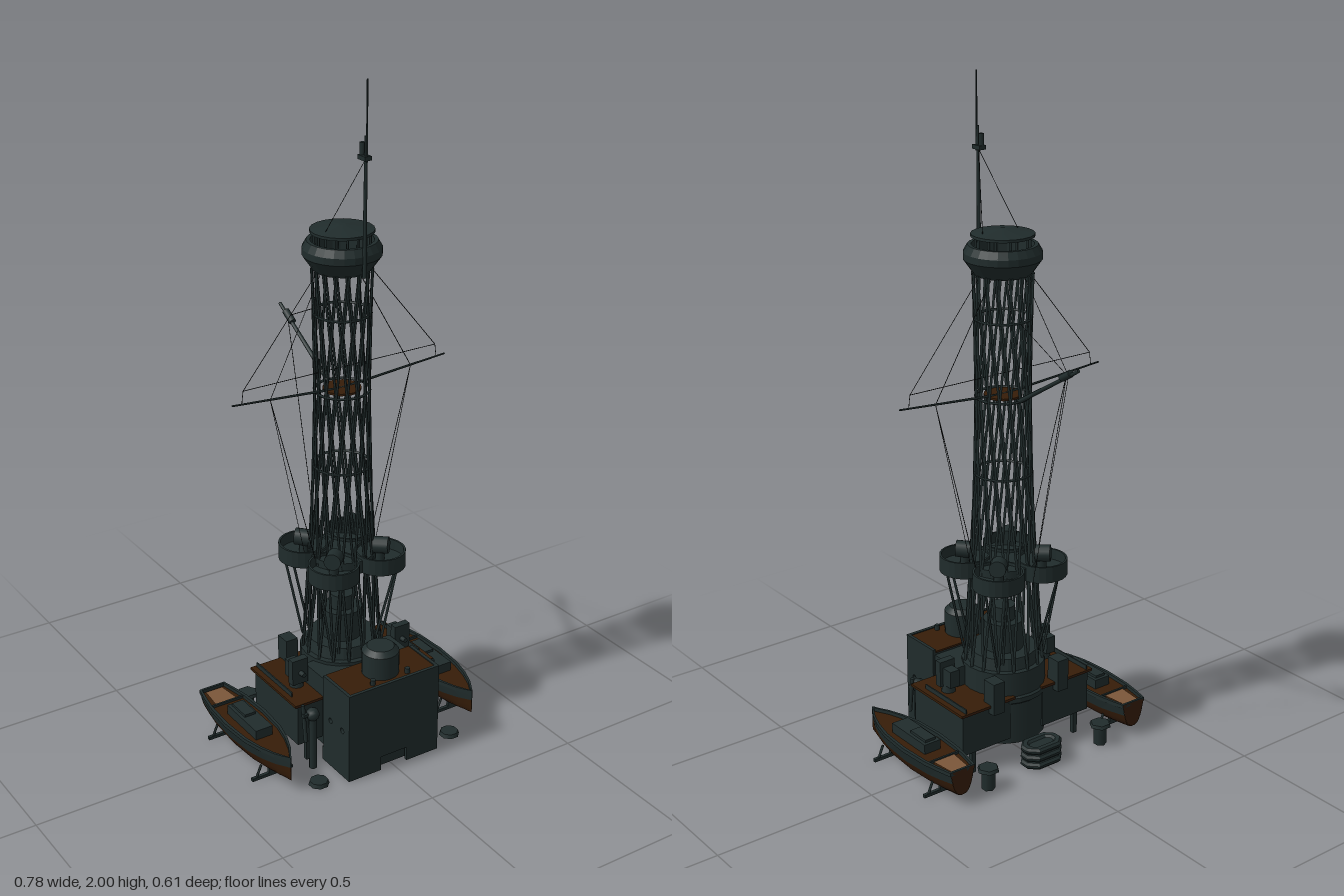
import * as THREE from 'three';

const paint = (name, color, extra = {}) => Object.assign(new THREE.MeshStandardMaterial({ color, ...extra }), { name });
const D = { side: THREE.DoubleSide };

export function createModel() {
  const root = new THREE.Group();
  root.name = 'latticeMastTower';
  const grey = paint('hull grey', 0x202c2c, D);
  const brown = paint('deck brown', 0x361d08, D);
  const tan = paint('cockpit tan', 0x7b573a, D);
  const wire = paint('rigging black', 0x15191a);
  const MZ = 0.028; // mast axis

  const add = (name, geo, mat, x = 0, y = 0, z = 0, parent = root) => {
    const m = new THREE.Mesh(geo, mat);
    m.name = name;
    m.position.set(x, y, z);
    parent.add(m);
    return m;
  };
  const poly = pts => new THREE.Shape(pts.map(p => new THREE.Vector2(...p)));
  // box given by its limits
  const box = (name, mat, x0, x1, y0, y1, z0, z1, parent) =>
    add(name, new THREE.BoxGeometry(x1 - x0, y1 - y0, z1 - z0), mat, (x0 + x1) / 2, (y0 + y1) / 2, (z0 + z1) / 2, parent);
  // upright cylinder from y0 to y1
  const cyl = (name, mat, x, z, y0, y1, r0, r1 = r0, n = 20, parent = root) =>
    add(name, new THREE.CylinderGeometry(r1, r0, y1 - y0, n), mat, x, (y0 + y1) / 2, z, parent);
  // rod between two points
  const rod = (name, mat, a, b, r, n = 6, r2 = r, parent = root) => {
    const p = new THREE.Vector3(...a), q = new THREE.Vector3(...b), d = q.clone().sub(p);
    const m = add(name, new THREE.CylinderGeometry(r2, r, d.length(), n), mat, 0, 0, 0, parent);
    m.position.copy(p).add(q).multiplyScalar(0.5);
    m.quaternion.setFromUnitVectors(new THREE.Vector3(0, 1, 0), d.normalize());
    return m;
  };
  // faceted turned part
  const lathe = (name, mat, pts, x, z, n = 24) => {
    const g = new THREE.LatheGeometry(pts.map(p => new THREE.Vector2(...p)), n).toNonIndexed();
    g.computeVertexNormals();
    return add(name, g, mat, x, 0, z);
  };

  // ---- front deckhouse, pierced by portholes, with a doorway at its foot
  const side = poly([[0.17, 0.045], [0.307, 0.045], [0.307, 0.28], [0.17, 0.28]]);
  for (const z of [0.27, 0.208]) side.holes.push(new THREE.Path().absarc(z, 0.155, 0.009, 0, Math.PI * 2, true));
  const house = new THREE.ExtrudeGeometry(side, { depth: 0.314, bevelEnabled: false, curveSegments: 8 });
  add('deckhouse', house.rotateY(-Math.PI / 2), grey, 0.157);
  for (const s of [-1, 1]) {
    box('deckhouseFrontFoot', grey, s < 0 ? -0.157 : 0.046, s < 0 ? -0.046 : 0.157, 0, 0.045, 0.297, 0.307);
    box('deckhouseSideFoot', grey, s * 0.152 - 0.005, s * 0.152 + 0.005, 0, 0.045, 0.17, 0.297);
    box('deckhouseCoaming', grey, s * 0.152 - 0.005, s * 0.152 + 0.005, 0.28, 0.287, 0.17, 0.307);
    cyl('deckVent', grey, s * 0.06, 0.283, 0.28, 0.3, 0.008, 0.008, 8);
  }
  box('deckhouseBackFoot', grey, -0.157, 0.157, 0, 0.045, 0.165, 0.175);
  box('doorwayBack', grey, -0.147, 0.147, 0, 0.045, 0.28, 0.286);
  box('deckhouseFrontCoaming', grey, -0.157, 0.157, 0.28, 0.287, 0.297, 0.307);
  box('deckhouseDeck', brown, -0.147, 0.147, 0.278, 0.284, 0.165, 0.297);
  box('deckhouseUnderside', brown, -0.147, 0.147, 0.002, 0.008, 0.175, 0.28);
  // conning tower
  cyl('conningTower', grey, 0, 0.232, 0.28, 0.355, 0.055);
  cyl('conningTowerRoof', grey, 0, 0.232, 0.355, 0.37, 0.055, 0.04);

  // ---- central drum under the mast
  cyl('mastDrum', grey, 0, MZ, 0.05, 0.28, 0.125);
  lathe('drumBelt', grey, [[0.125, 0.18], [0.131, 0.185], [0.131, 0.2], [0.125, 0.205]], 0, MZ);
  box('drumLink', grey, -0.15, 0.15, 0.045, 0.27, 0.06, 0.17);
  cyl('mastCore', grey, 0, MZ, 0.28, 0.405, 0.06);
  cyl('mastCoreTop', grey, 0, MZ, 0.405, 0.45, 0.035);
  lathe('mastFootRing', grey, [[0.06, 0.315], [0.1, 0.315], [0.108, 0.28]], 0, MZ);

  // ---- side wings with guns, posts and ventilators
  for (const s of [-1, 1]) {
    const wing = new THREE.Group();
    wing.name = s > 0 ? 'leftWing' : 'rightWing';
    root.add(wing);
    const b = (name, mat, x0, x1, ...r) => box(name, mat, Math.min(s * x0, s * x1), Math.max(s * x0, s * x1), ...r, wing);
    b('wingBody', grey, 0.06, 0.235, 0.07, 0.2, -0.085, 0.155);
    b('wingDeck', brown, 0.05, 0.245, 0.2, 0.208, -0.095, 0.16);
    b('wingBulwark', grey, 0.224, 0.228, 0.208, 0.222, -0.09, 0.11);
    b('gunShield', grey, 0.155, 0.208, 0.225, 0.305, 0.062, 0.085);
    b('gunBreech', grey, 0.165, 0.198, 0.232, 0.285, 0.025, 0.062);
    cyl('gunPedestal', grey, s * 0.18, 0.06, 0.208, 0.24, 0.022, 0.016, 10, wing);
    rod('gunBarrel', grey, [s * 0.18, 0.26, 0.08], [s * 0.18, 0.262, 0.105], 0.008, 8, 0.007, wing);
    b('rearLocker', grey, 0.1, 0.14, 0.18, 0.28, -0.108, -0.06);
    b('wingLeg', grey, 0.185, 0.2, 0, 0.07, -0.08, -0.065);
    b('wingLeg', grey, 0.185, 0.2, 0, 0.07, 0.13, 0.145);
    // cowl ventilator and boat post ahead of the wing
    cyl('cowlStem', grey, s * 0.203, 0.185, 0, 0.17, 0.012, 0.012, 8, wing);
    add('cowlHead', new THREE.SphereGeometry(0.021, 8, 6).rotateX(Math.PI / 2), grey, s * 0.203, 0.182, 0.185, wing);
    rod('boatPost', grey, [s * 0.23, 0.1, 0.19], [s * 0.23, 0.215, 0.175], 0.006, 6, 0.006, wing);
    b('postBracket', grey, 0.205, 0.236, 0.18, 0.19, 0.18, 0.19);
    // free-standing ventilators on the deck
    cyl('hexVentStem', grey, s * 0.212, -0.175, 0, 0.06, 0.02, 0.02, 6, wing);
    cyl('hexVentCap', grey, s * 0.212, -0.175, 0.06, 0.07, 0.034, 0.03, 6, wing).rotation.y = Math.PI / 6;
    cyl('deckHatch', grey, s * 0.233, 0.264, 0, 0.012, 0.031, 0.027, 8, wing).rotation.y = Math.PI / 8;
  }

  // ---- stack of eight-sided life rafts at the back
  const octagon = (w, h, c) => [[w, h - c], [w - c, h], [c - w, h], [-w, h - c], [-w, c - h], [c - w, -h], [w - c, -h], [w, c - h]];
  const ring = poly(octagon(0.06, 0.036, 0.024));
  ring.holes.push(new THREE.Path(poly(octagon(0.046, 0.023, 0.014)).getPoints()));
  for (let i = 0; i < 3; i++) {
    const rim = new THREE.ExtrudeGeometry(ring, { depth: 0.006, bevelThickness: 0.007, bevelSize: 0.006, bevelSegments: 1 });
    add('lifeRaft', rim.rotateX(Math.PI / 2), grey, 0, 0.017 + i * 0.024, -0.155);
    box('raftFloor', grey, -0.047, 0.047, 0.012 + i * 0.024, 0.017 + i * 0.024, -0.178, -0.132);
  }

  // ---- lattice mast: straight rods twisted both ways
  const N = 16, y0 = 0.28, y1 = 1.46, R0 = 0.117, R1 = 0.085, twist = 1.23;
  const lattice = new THREE.Group();
  lattice.name = 'latticeMast';
  root.add(lattice);
  const polar = (r, a, y) => [r * Math.cos(a), y, MZ + r * Math.sin(a)];
  for (let i = 0; i < N; i++) for (const s of [-1, 1]) {
    const a = (i / N) * Math.PI * 2;
    rod('latticeRod', grey, polar(R0, a, y0), polar(R1, a + s * twist, y1), 0.0042, 5, 0.0036, lattice);
  }
  const mastRadius = y => {
    const t = (y - y0) / (y1 - y0);
    return Math.hypot((1 - t) * R0 + t * R1 * Math.cos(twist), t * R1 * Math.sin(twist));
  };
  for (const y of [0.87, 1.1, 1.33])
    add('latticeHoop', new THREE.TorusGeometry(mastRadius(y), 0.004, 5, 28).rotateX(Math.PI / 2), grey, 0, y, MZ, lattice);
  cyl('lookoutFloor', brown, 0, MZ, 1.1, 1.106, 0.055);
  cyl('tubBridge', grey, 0, MZ, 0.556, 0.596, 0.1);

  // ---- four searchlight tubs with bracing
  for (const sx of [-1, 1]) for (const sz of [-1, 1]) {
    const x = sx * 0.08, z = MZ + sz * 0.081;
    lathe('searchlightTub', grey, [[0, 0.555], [0.075, 0.555], [0.075, 0.605], [0.069, 0.605], [0.069, 0.572], [0, 0.572]], x, z);
    cyl('searchlightStand', grey, x, z, 0.572, 0.605, 0.014, 0.014, 8);
    rod('searchlight', grey, [x - sx * 0.014, 0.618, z - sz * 0.014], [x + sx * 0.018, 0.62, z + sz * 0.018], 0.025, 14);
    for (const k of [-1, 1])
      rod('tubBrace', grey, [x + sx * 0.035 + k * 0.022, 0.556, z + sz * 0.035 - k * sx * sz * 0.022],
        [sx * 0.075 + k * 0.012, 0.3, MZ + sz * 0.08], 0.004, 5);
  }

  // ---- fighting top with roof on posts
  lathe('fightingTop', grey, [[0, 1.455], [0.08, 1.455], [0.111, 1.499], [0.111, 1.519], [0.099, 1.54], [0.088, 1.54], [0.085, 1.47]], 0, MZ);
  cyl('fightingTopFloor', brown, 0, MZ, 1.47, 1.477, 0.085);
  for (let i = 0; i < 8; i++) {
    const a = (i + 0.5) * Math.PI / 4;
    rod('roofPost', grey, polar(0.078, a, 1.475), polar(0.078, a, 1.566), 0.004, 5);
  }
  cyl('fightingTopRoof', grey, 0, MZ, 1.562, 1.57, 0.09);
  cyl('roofCone', grey, 0, MZ, 1.57, 1.582, 0.088, 0.01);

  // ---- topmast with signal lamps
  const TZ = 0.137;
  rod('topmast', grey, [0, 1.46, TZ], [0, 1.85, TZ + 0.003], 0.0065, 8, 0.004);
  rod('topmastPole', grey, [0, 1.78, TZ + 0.008], [0, 2, TZ + 0.008], 0.003, 6, 0.002);
  box('topmastCap', grey, -0.011, 0.011, 1.785, 1.797, TZ - 0.02, TZ + 0.014);
  cyl('signalLamp', grey, 0, TZ - 0.013, 1.797, 1.83, 0.008, 0.008, 8);

  // ---- rear gaff with tackle block
  rod('gaff', grey, [0, 1.1, -0.045], [0, 1.255, -0.302], 0.007, 8, 0.005);
  rod('gaffBlock', grey, [0, 1.218, -0.232], [0, 1.24, -0.27], 0.011, 8);

  // ---- yards and rigging
  const line = (a, b) => rod('rigging', wire, a, b, 0.0011, 4);
  for (const s of [-1, 1]) {
    rod('yard', grey, [0, 1.103, MZ], [s * 0.355, 1.13, MZ], 0.004, 6, 0.0025);
    line([0, 1.166, MZ], [s * 0.32, 1.166, MZ]);
    line([s * 0.32, 1.166, MZ], [s * 0.325, 1.127, MZ]);
    line([s * 0.08, 1.46, MZ], [s * 0.32, 1.166, MZ]);
    line([s * 0.05, 1.46, MZ - 0.02], [s * 0.235, 1.12, MZ]);
    line([s * 0.235, 1.12, MZ], [s * 0.105, 0.6, MZ + 0.02]);
    line([s * 0.235, 1.12, MZ], [s * 0.115, 0.6, MZ - 0.02]);
    line([s * 0.062, 1.57, MZ + 0.01], [0, 1.785, TZ]);
  }
  line([0, 1.33, -0.045], [0, 1.23, -0.255]);
  line([0, 1.23, -0.26], [0, 0.56, -0.11]);

  // ---- ship's boats on cradles
  const stations = [[-0.2, 0.042], [-0.15, 0.053], [-0.1, 0.062], [0, 0.068], [0.1, 0.061], [0.16, 0.047], [0.21, 0.028], [0.257, 0.001]];
  const rimY = z => 0.104 + 0.2 * z * z;
  const keelY = z => 0.02 + 0.3 * z * z;
  // skin between rows of points
  const skin = rows => {
    const g = new THREE.BufferGeometry(), n = rows[0].length, idx = [];
    for (let i = 0; i < rows.length - 1; i++) for (let j = 0; j < n - 1; j++) {
      const a = i * n + j;
      idx.push(a, a + 1, a + n, a + 1, a + n + 1, a + n);
    }
    g.setAttribute('position', new THREE.Float32BufferAttribute(rows.flat(2), 3));
    g.setIndex(idx);
    g.computeVertexNormals();
    return g;
  };
  // hull section point: f = 0 at keel, 1 at rim
  const hullPoint = (z, w, f, s) => [s * w * Math.pow(f, 0.32), keelY(z) + (rimY(z) - keelY(z)) * f, z];
  const outline = k => {
    const half = stations.map(([z, w]) => [w * k, z * (k < 1 ? 0.965 : 1)]);
    return half.concat([...half].reverse().map(([x, z]) => [-x, z]));
  };
  for (const s of [-1, 1]) {
    const boat = new THREE.Group();
    boat.name = s > 0 ? 'leftBoat' : 'rightBoat';
    boat.position.x = s * 0.322;
    root.add(boat);
    const lower = [-0.56, -0.35, -0.16, -0.04, -0.005, 0, 0.005, 0.04, 0.16, 0.35, 0.56];
    add('boatHull', skin(stations.map(([z, w]) => lower.map(f => hullPoint(z, w, Math.abs(f), Math.sign(f))))), brown, 0, 0, 0, boat);
    for (const k of [-1, 1])
      add('boatStrake', skin(stations.map(([z, w]) => [0.56, 1].map(f => hullPoint(z, w, f, k)))), grey, 0, 0, 0, boat);
    const stern = [-1, -0.4, -0.1, 0, 0.1, 0.4, 1].map(f => hullPoint(-0.2, 0.042, Math.abs(f), Math.sign(f)));
    add('boatTransom', skin([stern, stern.map(p => [p[0], rimY(-0.2), p[2]])]), brown, 0, 0, 0, boat);
    add('boatDeck', new THREE.ShapeGeometry(poly(outline(0.98))).rotateX(Math.PI / 2), brown, 0, 0.104, 0, boat);
    const rim = poly(outline(1.02));
    rim.holes.push(new THREE.Path(poly(outline(0.88)).getPoints()));
    add('boatGunwale', new THREE.ExtrudeGeometry(rim, { depth: 0.012, bevelEnabled: false }).rotateX(Math.PI / 2), grey, 0, 0.115, 0, boat);
    const pit = poly([[-0.028, -0.187], [0.028, -0.187], [0.036, -0.11], [-0.036, -0.11]]);
    add('boatCockpit', new THREE.ShapeGeometry(pit).rotateX(Math.PI / 2), tan, 0, 0.108, 0, boat);
    box('boatThwart', grey, -0.058, 0.058, 0.1, 0.112, -0.11, -0.104, boat);
    box('boatCabin', grey, -0.028, 0.028, 0.1, 0.134, -0.055, 0.11, boat);
    box('cabinHatch', grey, -0.018, 0.018, 0.134, 0.142, -0.045, 0.03, boat);
    // cradles with short chocks
    for (const z of [-0.104, 0.15]) {
      box('cradleBeam', grey, -0.068, 0.068, 0, 0.01, z - 0.005, z + 0.005, boat);
      box('cradleKeelBlock', grey, -0.012, 0.012, 0.01, 0.032, z - 0.005, z + 0.005, boat);
      for (const k of [-1, 1])
        rod('cradleChock', grey, [k * 0.052, 0.008, z], [k * 0.036, 0.045, z], 0.004, 5, 0.004, boat);
    }
  }
  return root;
}
